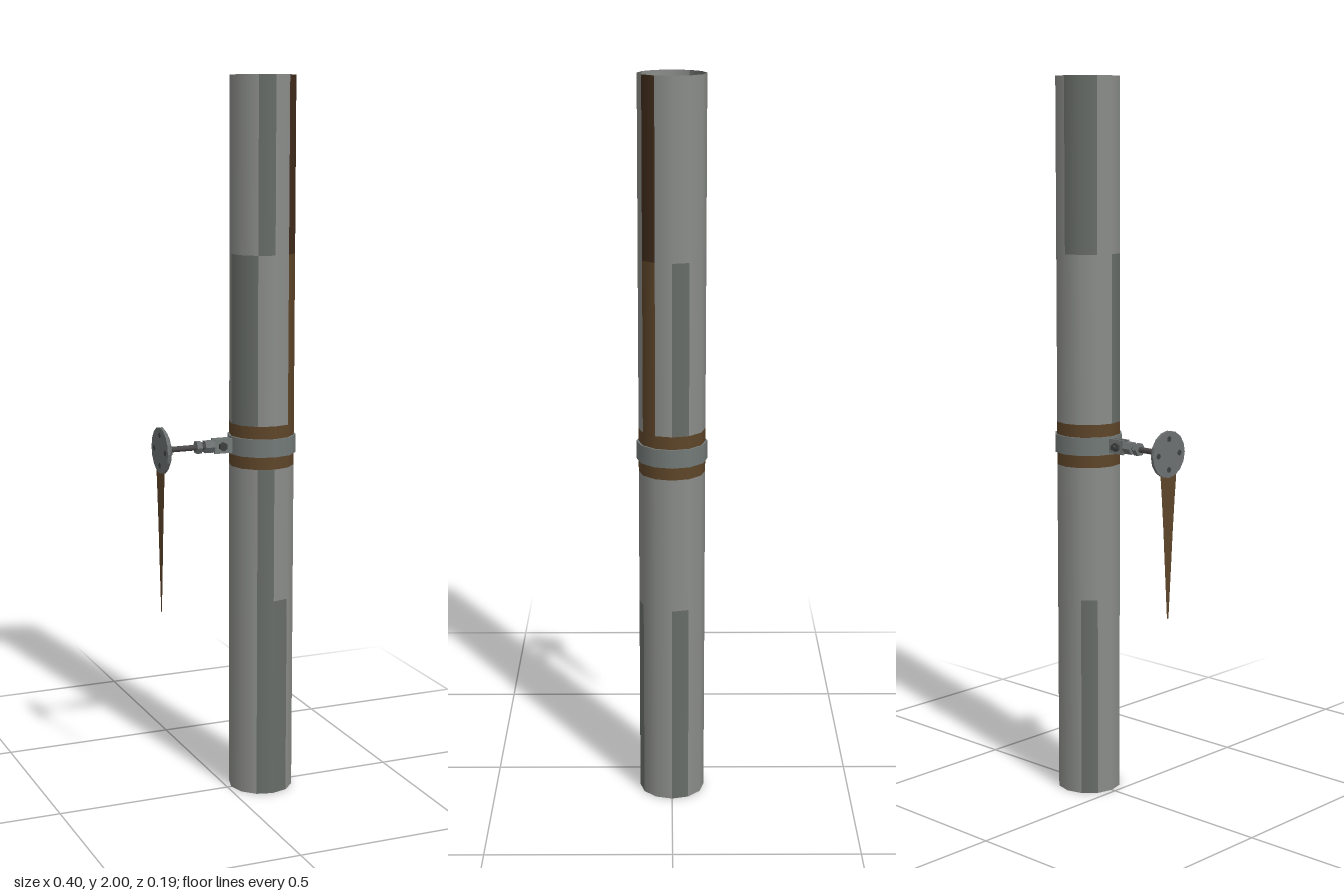
import * as THREE from 'three';

function material(name, color, side = THREE.FrontSide, flatShading = false) {
  const m = new THREE.MeshStandardMaterial({ color, side, flatShading });
  m.name = name;
  return m;
}

export function createModel() {
  const D = THREE.DoubleSide;
  const light = material('lightSteel', 0x8b8d8a, D);
  const dark = material('darkSteel', 0x686d68, D);
  const rust = material('rust', 0x5e4529, D);
  const darkRust = material('darkRust', 0x412c1b, D);
  const clampGrey = material('clampGrey', 0x737a78, D);
  const fitting = material('fittingGrey', 0x6c7070, THREE.FrontSide, true);
  const rodGrey = material('rodGrey', 0x4a4747);
  const boltGrey = material('boltGrey', 0x3d4040, THREE.FrontSide, true);

  const CX = 0.102, SIDES = 12;
  const model = new THREE.Group();
  model.name = 'pipeWithWallClamp';

  function add(name, geometry, mat, x, y, z, parent = model) {
    const mesh = new THREE.Mesh(geometry, mat);
    mesh.name = name;
    mesh.position.set(x, y, z);
    parent.add(mesh);
    return mesh;
  }

  // Pipe: open tube in rows; columns count from +x towards +z
  const pipe = new THREE.Group();
  pipe.name = 'pipe';
  model.add(pipe);
  const palette = [light, dark, rust, darkRust];
  const rows = [
    { y0: 0, y1: 0.565, base: 0, cols: { 2: 1, 3: 1, 7: 1, 11: 1 } },
    { y0: 0.565, y1: 0.94, base: 0, cols: { 3: 1 } },
    { y0: 0.94, y1: 1.06, base: 2, cols: {} },
    { y0: 1.06, y1: 1.525, base: 0, cols: { 1: 2, 4: 1, 5: 1, 11: 1 } },
    { y0: 1.525, y1: 2, base: 0, cols: { 1: 3, 3: 1, 7: 1, 8: 1 } },
  ];
  rows.forEach(({ y0, y1, base, cols }, i) => {
    const g = new THREE.CylinderGeometry(0.09, 0.09, y1 - y0, SIDES, 1, true);
    g.clearGroups();
    for (let j = 0; j < SIDES; j++) {
      g.addGroup(j * 6, 6, cols[(2 - j + SIDES) % SIDES] ?? base);
    }
    add('pipeSection' + (i + 1), g, palette, CX, (y0 + y1) / 2, 0, pipe);
  });

  // Clamp band with its rims
  const clamp = new THREE.Group();
  clamp.name = 'clamp';
  model.add(clamp);
  add('clampBand', new THREE.CylinderGeometry(0.0955, 0.0955, 0.05, SIDES, 1, true), clampGrey, CX, 1, 0, clamp);
  for (const s of [-1, 1]) {
    const rim = add('clampRim', new THREE.RingGeometry(0.0895, 0.0955, SIDES), clampGrey, CX, 1 + s * 0.025, 0, clamp);
    rim.rotation.x = -s * Math.PI / 2;
    // Lug plates either side of the eye
    add('clampLug', new THREE.BoxGeometry(0.054, 0.04, 0.006), clampGrey, -0.016, 1, s * 0.01, clamp);
  }

  // Round bar along z or x
  function bar(name, r0, r1, length, sides, mat, axis, x, z, y = 1) {
    const g = new THREE.CylinderGeometry(r1, r0, length, sides);
    if (axis === 'x') g.rotateZ(-Math.PI / 2);
    else g.rotateX(Math.PI / 2);
    return add(name, g, mat, x, y, z);
  }

  // Cross bolt through the lugs
  bar('boltShank', 0.007, 0.007, 0.052, 10, boltGrey, 'z', -0.019, -0.006);
  bar('boltHead', 0.0125, 0.0125, 0.009, 6, boltGrey, 'z', -0.019, 0.0175);
  bar('boltNut', 0.0125, 0.0125, 0.009, 6, boltGrey, 'z', -0.019, -0.0175);

  // Threaded rod with coupling and lock nut
  bar('rod', 0.008, 0.008, 0.13, 12, rodGrey, 'x', -0.115, 0);
  bar('coupling', 0.0185, 0.0185, 0.027, 6, fitting, 'x', -0.056, 0);
  bar('lockNut', 0.0185, 0.0185, 0.015, 6, fitting, 'x', -0.087, 0);

  // Wall flange: disc, bevel and tapered socket
  bar('flangeDisc', 0.064, 0.064, 0.008, 16, fitting, 'x', -0.195, 0);
  bar('flangeBevel', 0.064, 0.051, 0.008, 16, fitting, 'x', -0.187, 0);
  bar('flangeSocket', 0.033, 0.019, 0.014, 16, fitting, 'x', -0.177, 0);

  // Flange screws, showing on both faces
  for (let i = 0; i < 4; i++) {
    const a = i * Math.PI / 2;
    bar('flangeScrew', 0.008, 0.007, 0.0195, 8, boltGrey, 'x', -0.1897, 0.042 * Math.cos(a), 1 + 0.042 * Math.sin(a));
  }

  // Rust streak running down the wall below the flange
  const edge = [[0.033, 0.955], [0.026, 0.88], [0.019, 0.79], [0.012, 0.68], [0.003, 0.545]];
  const outline = [...edge, ...edge.map(([w, y]) => [-w, y]).reverse()];
  const streak = new THREE.ShapeGeometry(new THREE.Shape(outline.map(([w, y]) => new THREE.Vector2(w, y))));
  streak.rotateY(-Math.PI / 2);
  add('rustStreak', streak, rust, -0.197, 0, 0);

  return model;
}
